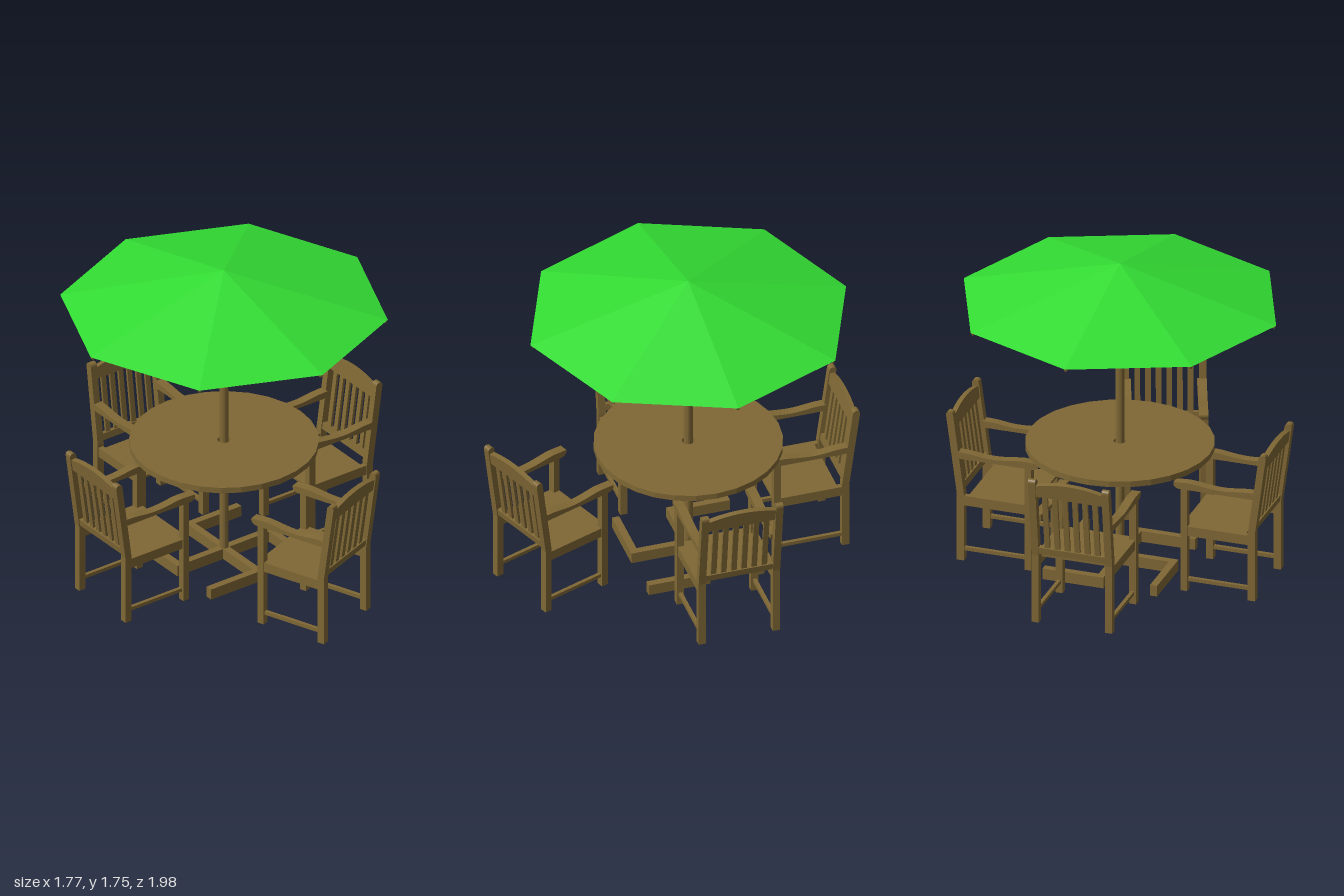
import * as THREE from 'three';

const wood = new THREE.MeshStandardMaterial({ color: 0x806835, flatShading: true });
const cloth = new THREE.MeshStandardMaterial({ color: 0x33dd33, flatShading: true, side: THREE.DoubleSide });

function add(parent, name, geometry, x = 0, y = 0, z = 0, material = wood) {
  const mesh = new THREE.Mesh(geometry, material);
  mesh.name = name;
  mesh.position.set(x, y, z);
  parent.add(mesh);
  return mesh;
}

const box = (w, h, d) => new THREE.BoxGeometry(w, h, d);

// Box given by its extents on each axis
function block(parent, name, [x0, x1], [y0, y1], [z0, z1]) {
  return add(parent, name, box(x1 - x0, y1 - y0, z1 - z0), (x0 + x1) / 2, (y0 + y1) / 2, (z0 + z1) / 2);
}

// Side outline (z, y) extruded across x, centred
function sideExtrude(shape, width) {
  return new THREE.ExtrudeGeometry(shape, { depth: width, bevelEnabled: false, curveSegments: 6 })
    .translate(0, 0, -width / 2).rotateY(-Math.PI / 2);
}

// Square bar between two points
function bar(parent, name, a, b, size) {
  const mesh = add(parent, name, box(size, size, a.distanceTo(b)));
  mesh.position.copy(a).add(b).multiplyScalar(0.5);
  mesh.lookAt(b);
}

// Back post: straight leg, then leaning upright with a rounded top
function postShape() {
  const s = new THREE.Shape();
  s.moveTo(0.185, 0);
  s.lineTo(0.225, 0);
  s.lineTo(0.225, 0.39);
  s.lineTo(0.285, 0.835);
  s.quadraticCurveTo(0.285, 0.855, 0.267, 0.855);
  s.quadraticCurveTo(0.247, 0.855, 0.245, 0.835);
  s.lineTo(0.185, 0.39);
  s.closePath();
  return s;
}

// Armrest with a gently dipped top and a rounded front end
function armShape() {
  const s = new THREE.Shape();
  s.moveTo(-0.2, 0.59);
  s.lineTo(0.215, 0.59);
  s.lineTo(0.222, 0.628);
  s.bezierCurveTo(0.12, 0.628, 0.1, 0.612, 0.02, 0.614);
  s.bezierCurveTo(-0.06, 0.616, -0.1, 0.63, -0.15, 0.63);
  s.lineTo(-0.23, 0.626);
  s.quadraticCurveTo(-0.235, 0.595, -0.2, 0.59);
  return s;
}

// Arched top rail of the backrest
function railShape() {
  const s = new THREE.Shape();
  s.moveTo(-0.185, 0.37);
  s.lineTo(0.185, 0.37);
  s.lineTo(0.185, 0.435);
  s.quadraticCurveTo(0, 0.487, -0.185, 0.435);
  s.closePath();
  return s;
}

// Chair with its back towards +z
function makeChair(name, x, z, turn) {
  const chair = new THREE.Group();
  chair.name = name;
  for (const s of [-1, 1]) {
    add(chair, 'backPost', sideExtrude(postShape(), 0.04), s * 0.205);
    add(chair, 'frontLeg', box(0.04, 0.59, 0.038), s * 0.205, 0.295, -0.172);
    add(chair, 'armrest', sideExtrude(armShape(), 0.05), s * 0.2);
    add(chair, 'sideApron', box(0.03, 0.055, 0.34), s * 0.205, 0.3475, 0.016);
    add(chair, 'sideStretcher', box(0.02, 0.02, 0.34), s * 0.205, 0.065, 0.016);
  }
  block(chair, 'seat', [-0.195, 0.195], [0.36, 0.375], [-0.19, 0.165]);

  const back = new THREE.Group();
  back.name = 'backrest';
  back.position.set(0, 0.39, 0.205);
  back.rotation.x = Math.atan(0.06 / 0.445);
  chair.add(back);
  block(back, 'lowerRail', [-0.185, 0.185], [0.012, 0.05], [-0.014, 0.014]);
  add(back, 'topRail', new THREE.ExtrudeGeometry(railShape(), { depth: 0.028, bevelEnabled: false }), 0, 0, -0.014);
  for (let i = 0; i < 6; i++) {
    add(back, 'slat', box(0.03, 0.33, 0.014), (i - 2.5) * 0.056, 0.21, 0);
  }
  chair.position.set(x, 0, z);
  chair.rotation.y = turn;
  return chair;
}

function makeTable() {
  const table = new THREE.Group();
  table.name = 'table';
  // Round top with a hole for the pole
  const profile = [[0.034, 0.715], [0.034, 0.682], [0.5, 0.682], [0.5, 0.715], [0.034, 0.715]];
  add(table, 'tableTop', new THREE.LatheGeometry(profile.map(p => new THREE.Vector2(...p)), 28));
  // Cross foot whose four arms turn at the ends
  for (let i = 0; i < 4; i++) {
    const foot = new THREE.Group();
    foot.name = 'foot';
    foot.rotation.y = i * Math.PI / 2;
    block(foot, 'footArm', [0, 0.28], [0, 0.062], [-0.02, 0.02]);
    block(foot, 'footEnd', [0.28, 0.32], [0, 0.062], [-0.02, 0.32]);
    table.add(foot);
  }
  return table;
}

function makeParasol() {
  const parasol = new THREE.Group();
  parasol.name = 'parasol';
  add(parasol, 'pole', new THREE.CylinderGeometry(0.025, 0.025, 1.73, 16), 0, 0.865);
  add(parasol, 'canopy', new THREE.ConeGeometry(0.872, 0.225, 8, 1, true), 0, 1.6375, 0, cloth);
  add(parasol, 'collar', new THREE.CylinderGeometry(0.05, 0.05, 0.035, 12), 0, 1.458);
  add(parasol, 'topHub', new THREE.CylinderGeometry(0.045, 0.045, 0.035, 12), 0, 1.705);
  // Ribs along the canopy folds, with struts down to the collar
  for (let i = 0; i < 8; i++) {
    const a = i * Math.PI / 4;
    const at = (r, y) => new THREE.Vector3(Math.sin(a) * r, y, Math.cos(a) * r);
    bar(parasol, 'rib', at(0.03, 1.731), at(0.865, 1.517), 0.015);
    bar(parasol, 'strut', at(0.04, 1.458), at(0.5, 1.602), 0.014);
  }
  return parasol;
}

export function createModel() {
  const model = new THREE.Group();
  model.name = 'patioSet';
  for (const part of [makeTable(), makeParasol()]) {
    part.position.z = -0.11;
    model.add(part);
  }
  model.add(
    makeChair('leftChair', 0.6, -0.13, Math.PI / 2),
    makeChair('rightChair', -0.6, -0.09, -Math.PI / 2),
    makeChair('backChair', -0.022, -0.71, Math.PI),
    makeChair('frontChair', 0.015, 0.643, 0.36)
  );
  return model;
}
